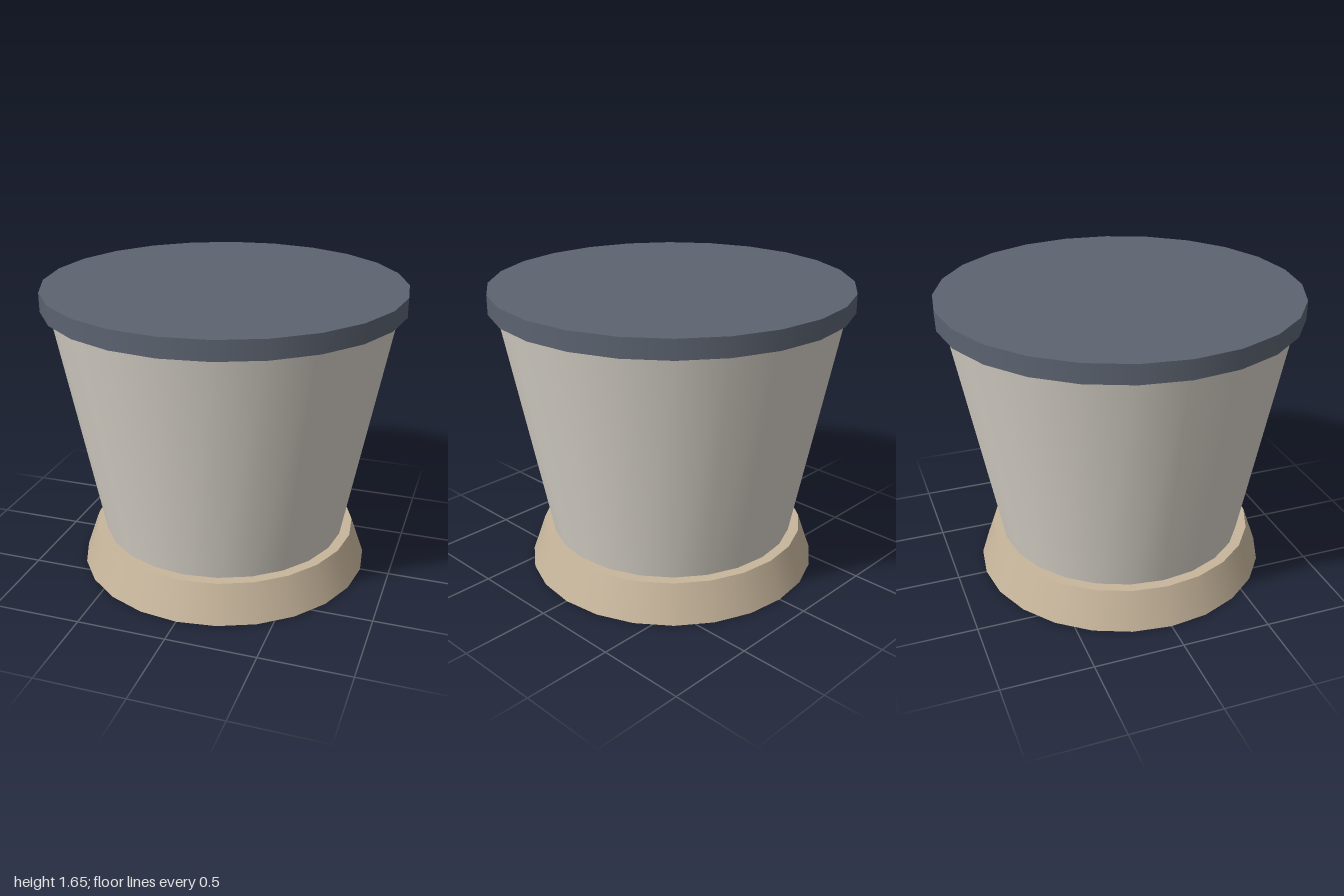
import * as THREE from 'three';

const SIDES = 24;

export function createModel() {
  const group = new THREE.Group();
  group.name = 'taperedDrum';

  const cream = new THREE.MeshStandardMaterial({ name: 'cream', color: 0xd9d4ca });
  const tan = new THREE.MeshStandardMaterial({ name: 'tan', color: 0xc8b69c });
  const slate = new THREE.MeshStandardMaterial({ name: 'slate', color: 0x5c6370 });

  // Capped round section between two heights
  const section = (name, material, rBottom, rTop, y0, y1) => {
    const geometry = new THREE.CylinderGeometry(rTop, rBottom, y1 - y0, SIDES);
    const mesh = new THREE.Mesh(geometry, material);
    mesh.name = name;
    mesh.position.y = (y0 + y1) / 2;
    group.add(mesh);
  };

  section('base', tan, 0.835, 0.76, 0, 0.215); // flared foot
  section('body', cream, 0.7, 0.955, 0.21, 1.55); // widens upward
  section('lid', slate, 1, 1, 1.545, 1.65); // flat overhanging disc

  return group;
}
